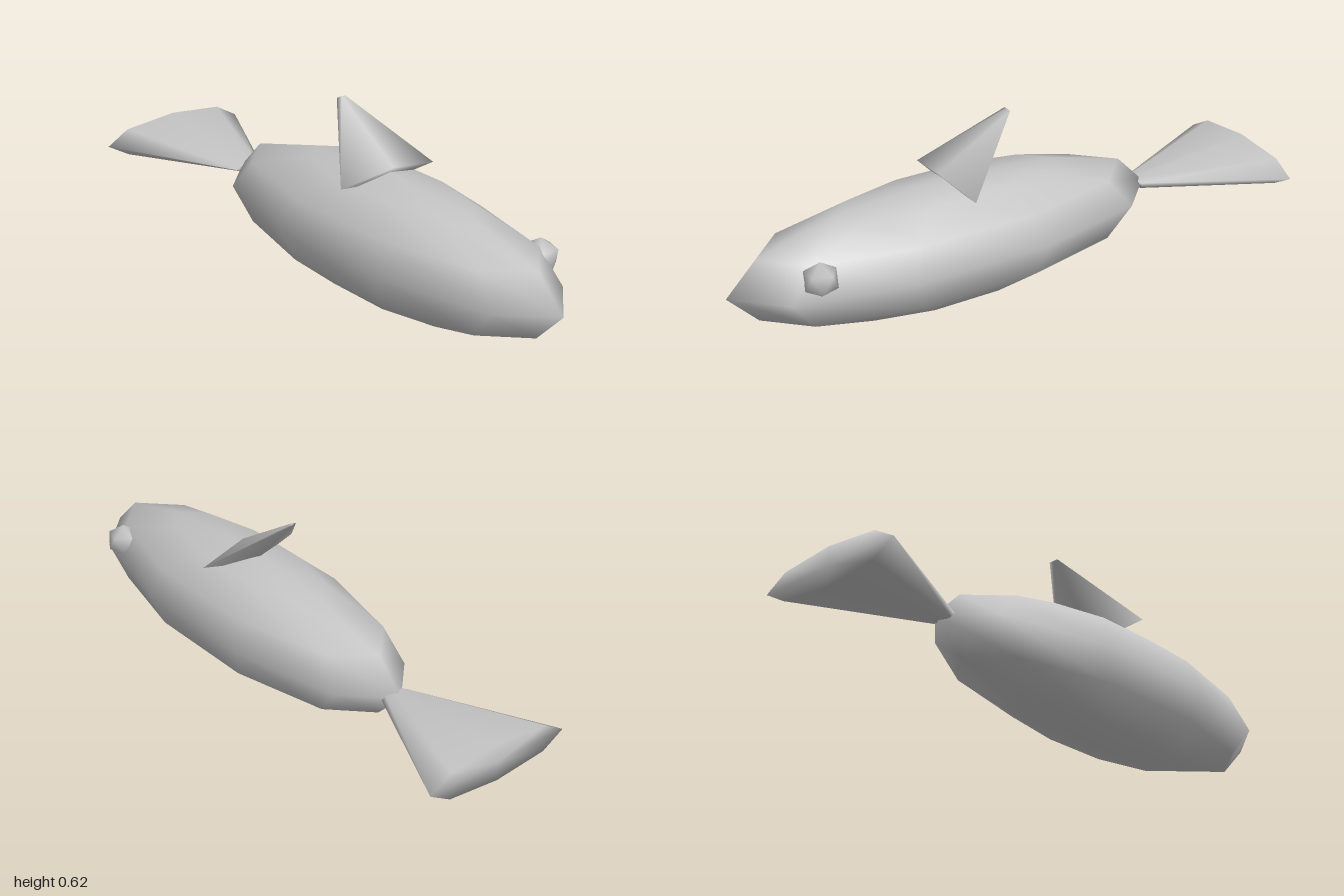
import * as THREE from 'three';
import { mergeVertices } from 'three/addons/utils/BufferGeometryUtils.js';

// Joins the corners and rounds the shading over every edge
function smooth(geometry) {
  geometry.deleteAttribute('uv');
  geometry.deleteAttribute('normal');
  const joined = mergeVertices(geometry, 1e-4);
  joined.computeVertexNormals();
  return joined;
}

// Flattened cone along y, wide end down, `thin` is the half thickness at the wide end
function finGeometry(narrow, wide, length, thin, sides) {
  const geometry = new THREE.CylinderGeometry(narrow, wide, length, sides);
  geometry.scale(thin / wide, 1, 1);
  return smooth(geometry);
}

export function createModel() {
  const model = new THREE.Group();
  model.name = 'fish';
  const grey = new THREE.MeshStandardMaterial({ color: 0xc4c4c4 });
  grey.name = 'grey';

  // The fish lies along its own x axis, nose at +x, turned about y
  const fish = new THREE.Group();
  fish.name = 'fishParts';
  fish.position.set(0.253, 0.217, 0.16);
  fish.rotation.y = -0.348;
  model.add(fish);

  const add = (name, geometry, x, y, z) => {
    const mesh = new THREE.Mesh(geometry, grey);
    mesh.name = name;
    mesh.position.set(x, y, z);
    fish.add(mesh);
    return mesh;
  };

  // Body
  const body = new THREE.SphereGeometry(1, 10, 6);
  body.scale(0.792, 0.215, 0.257);
  add('body', smooth(body), 0, 0, 0);

  // Tail fin, spreading backwards
  const tail = add('tailFin', finGeometry(0.053, 0.28, 0.474, 0.068, 8), -0.995, 0, 0);
  tail.rotation.z = -Math.PI / 2;

  // Fin on the upper side, leaning back
  const fin = add('sideFin', finGeometry(0.018, 0.191, 0.31, 0.045, 4), -0.118, 0.3, 0);
  fin.rotation.z = 0.87;

  // Eye, standing on one corner
  const eye = add('eye', smooth(new THREE.IcosahedronGeometry(0.061)), 0.538, 0.066, -0.153);
  eye.rotation.z = Math.atan(2 / (1 + Math.sqrt(5)));

  return model;
}
